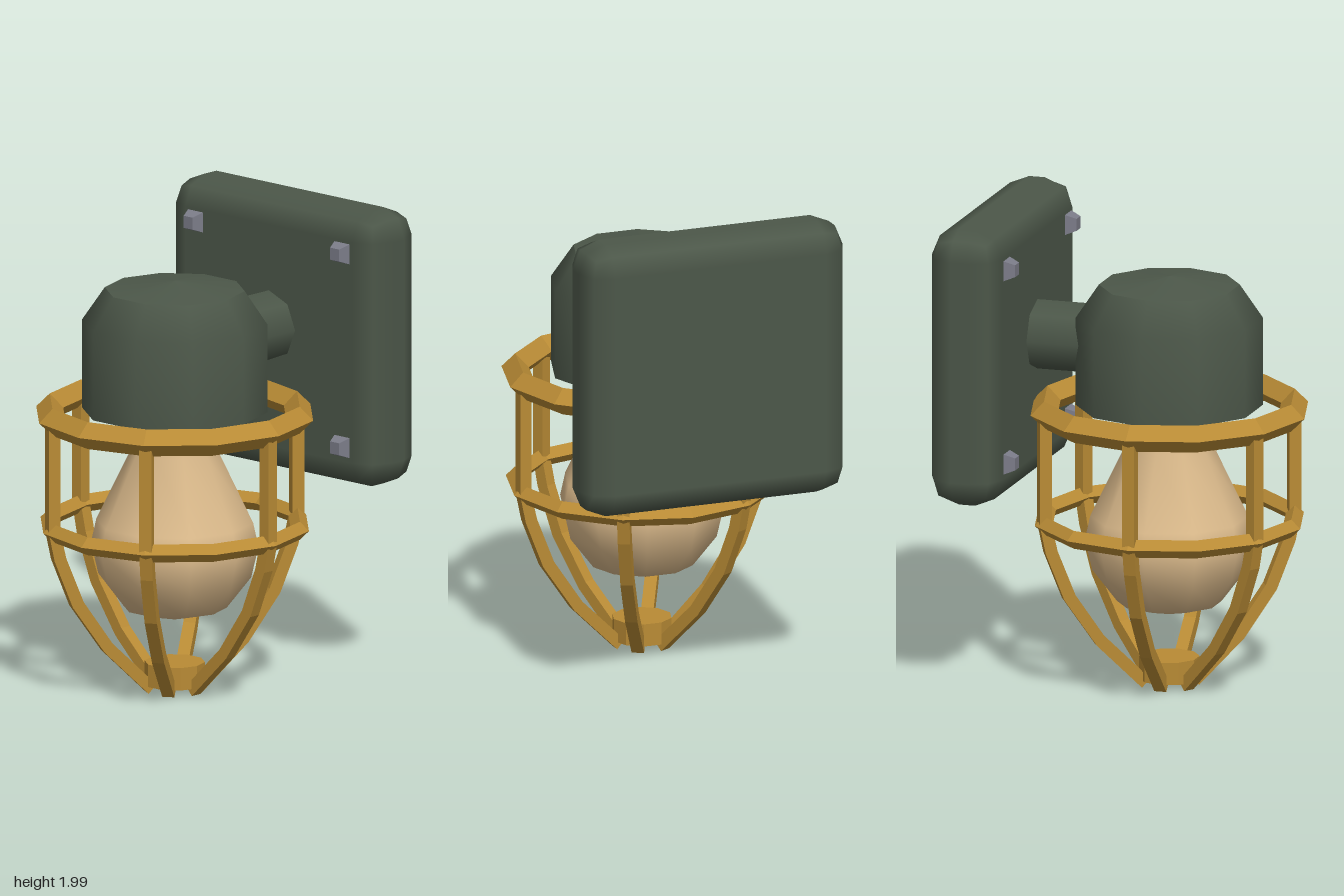
import * as THREE from 'three';
import { RoundedBoxGeometry } from 'three/addons/geometries/RoundedBoxGeometry.js';

const AXIS_Z = 0.145; // the lamp hangs in front of the wall plate

function material(name, color) {
  const m = new THREE.MeshStandardMaterial({ color });
  m.name = name;
  return m;
}

function flat(geometry) {
  const g = geometry.toNonIndexed();
  g.computeVertexNormals();
  return g;
}

// Ten-sided turned part with a corner on the x axis; profile runs bottom to top
function turned(profile) {
  const points = profile.map(([r, y]) => new THREE.Vector2(r, y));
  return new THREE.LatheGeometry(points, 10, Math.PI / 2);
}

export function createModel() {
  const green = material('dark green paint', 0x4c5749);
  const brass = material('brass', 0xb98b35);
  const glass = material('warm bulb', 0xdcbb8c);
  const steel = material('bolt steel', 0x7b7c88);

  const model = new THREE.Group();
  model.name = 'cagedWallLamp';
  const lamp = new THREE.Group();
  lamp.name = 'lamp';
  lamp.position.z = AXIS_Z;
  model.add(lamp);

  function add(parent, name, geometry, mat, x = 0, y = 0, z = 0) {
    const mesh = new THREE.Mesh(geometry, mat);
    mesh.name = name;
    mesh.position.set(x, y, z);
    parent.add(mesh);
    return mesh;
  }

  // Wall plate and its four bolts
  add(model, 'wallPlate', new RoundedBoxGeometry(1.17, 1.17, 0.305, 1, 0.118), green, 0, 1.415, -0.578);
  const bolt = flat(new THREE.CylinderGeometry(0.036, 0.06, 0.045, 4)
    .rotateY(Math.PI / 4).rotateX(Math.PI / 2));
  for (const x of [-0.41, 0.41]) {
    for (const y of [1.01, 1.83]) add(model, 'bolt', bolt, steel, x, y, -0.403);
  }

  // Arm from plate to hood
  const arm = new THREE.CylinderGeometry(0.147, 0.147, 0.4, 8).rotateX(Math.PI / 2);
  add(model, 'arm', arm, green, 0, 1.457, -0.3);

  // Hood: smooth shell, shallow pointed cap, closed underside
  add(lamp, 'hood', turned([[0.385, 1.2], [0.385, 1.57], [0.29, 1.71]]), green);
  add(lamp, 'hoodCap', turned([[0.29, 1.71], [0, 1.747]]), green);
  add(lamp, 'hoodUnderside', turned([[0, 1.2], [0.385, 1.2]]), green);

  // Bulb
  add(lamp, 'bulb', turned([
    [0, 0.312], [0.215, 0.368], [0.317, 0.5], [0.347, 0.63],
    [0.325, 0.73], [0.18, 1.03], [0.18, 1.21],
  ]), glass);

  // Cage rings with diamond section
  for (const [name, r, tube, y] of [['upperRing', 0.527, 0.057, 1.184], ['lowerRing', 0.528, 0.038, 0.716]]) {
    const ring = flat(new THREE.TorusGeometry(r, tube, 4, 12).rotateX(Math.PI / 2));
    add(lamp, name, ring, brass, 0, y, 0);
  }

  // Six bent cage bars, cut from a side outline
  const outer = [[0.55, 1.17], [0.55, 0.72], [0.525, 0.6], [0.447, 0.4], [0.31, 0.2], [0.12, 0.012]];
  const inner = [[0.5, 1.17], [0.5, 0.72], [0.475, 0.61], [0.4, 0.42], [0.275, 0.235], [0.087, 0.05]];
  const outline = [...outer, ...inner.reverse()].map(([r, y]) => new THREE.Vector2(r, y));
  const bar = new THREE.ExtrudeGeometry(new THREE.Shape(outline), { depth: 0.052, bevelEnabled: false });
  bar.translate(0, 0, -0.026);
  for (let i = 0; i < 6; i++) add(lamp, 'cageBar', bar, brass).rotation.y = i * Math.PI / 3;

  // Hub joining the bars at the bottom
  const hub = flat(new THREE.CylinderGeometry(0.125, 0.125, 0.095, 10).rotateY(Math.PI / 2));
  add(lamp, 'cageHub', hub, brass, 0, 0.088, 0);

  return model;
}
